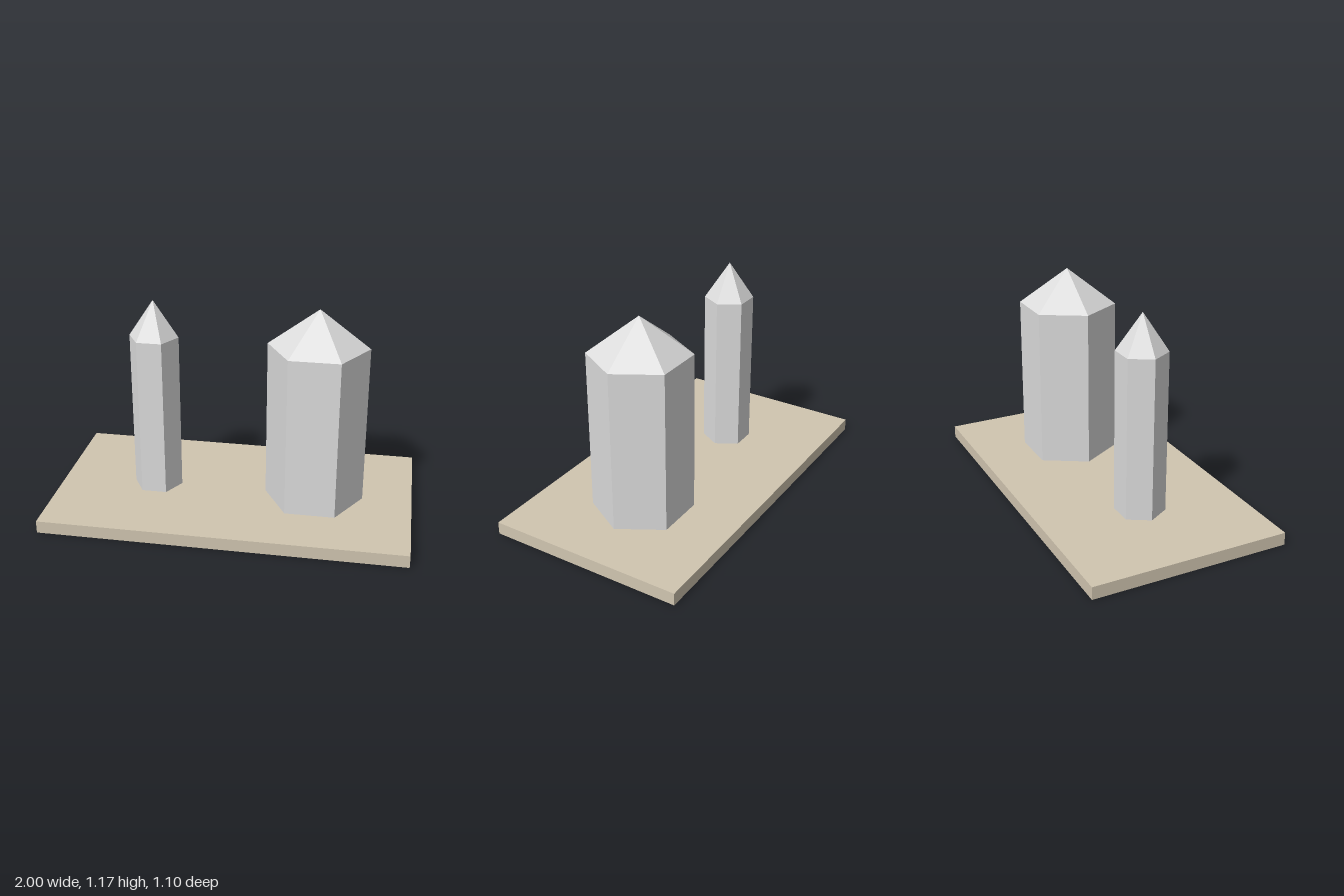
import * as THREE from 'three';

const SIDES = 6;
const BASE_HEIGHT = 0.07;
const SHAFT_HEIGHT = 0.9;
const TIP_HEIGHT = 0.205;

// Six-sided column with a pointed cap, corners on the x axis
function createPillar(name, radius, x, material) {
  const pillar = new THREE.Group();
  pillar.name = name;

  const shaft = new THREE.Mesh(
    new THREE.CylinderGeometry(radius, radius, SHAFT_HEIGHT, SIDES, 1, true).toNonIndexed(),
    material
  );
  shaft.name = 'shaft';
  shaft.position.y = SHAFT_HEIGHT / 2;

  const tip = new THREE.Mesh(
    new THREE.ConeGeometry(radius, TIP_HEIGHT, SIDES, 1, true).toNonIndexed(),
    material
  );
  tip.name = 'pointedCap';
  tip.position.y = SHAFT_HEIGHT + TIP_HEIGHT / 2;

  // Flat facets
  for (const mesh of [shaft, tip]) mesh.geometry.computeVertexNormals();

  pillar.add(shaft, tip);
  pillar.position.set(x, BASE_HEIGHT, 0);
  pillar.rotation.y = Math.PI / 2;
  return pillar;
}

export function createModel() {
  const stone = new THREE.MeshStandardMaterial({ color: 0xdcdcdc });
  stone.name = 'paleGrey';
  const sand = new THREE.MeshStandardMaterial({ color: 0xd0c5b0 });
  sand.name = 'sandBeige';

  const model = new THREE.Group();
  model.name = 'pillarsOnBase';

  // Rectangular slab
  const base = new THREE.Mesh(new THREE.BoxGeometry(2, BASE_HEIGHT, 1.1), sand);
  base.name = 'base';
  base.position.y = BASE_HEIGHT / 2;

  model.add(
    base,
    createPillar('slimPillar', 0.1375, -0.45, stone),
    createPillar('widePillar', 0.275, 0.45, stone)
  );
  return model;
}
